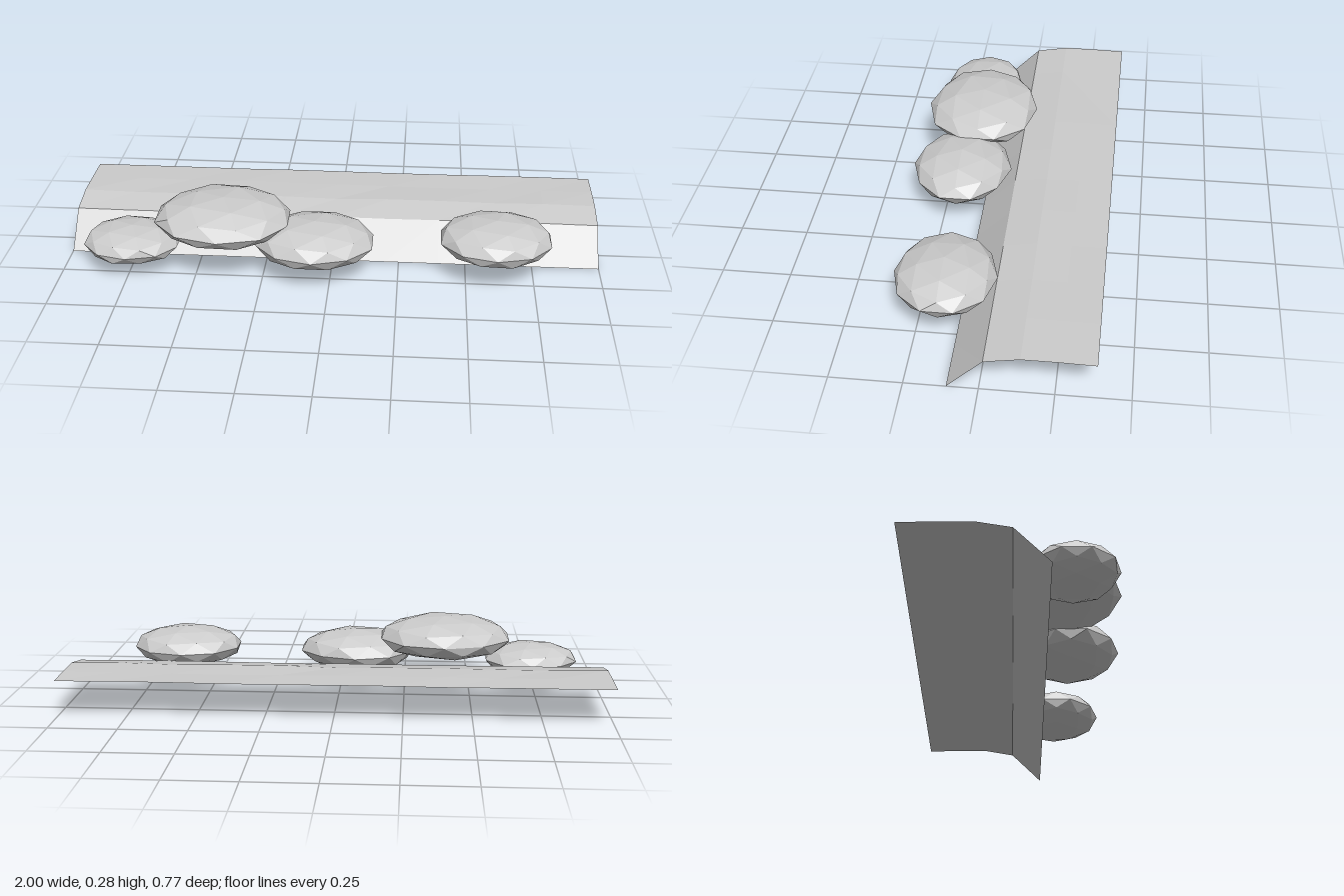
import * as THREE from 'three';

const material = new THREE.MeshStandardMaterial({ color: 0xcccccc, flatShading: true });
const sheetMaterial = new THREE.MeshStandardMaterial({
  color: 0xcccccc, flatShading: true, side: THREE.DoubleSide,
});

// Repeatable value in -1..1 from a position, so shared corners move together
function noise(x, y, z, seed) {
  const q = (v) => Math.round(v * 100);
  const s = Math.sin(q(x) * 12.99 + q(y) * 78.23 + q(z) * 37.72 + seed * 4.13) * 43758.55;
  return 2 * (s - Math.floor(s)) - 1;
}

// Flattened low-poly boulder with a corner at the top and bottom
function boulder(name, [x, y, z], [rx, ry, rz], seed) {
  const geometry = new THREE.IcosahedronGeometry(1, 1);
  geometry.rotateZ(-Math.atan(2 / (1 + Math.sqrt(5))));
  const p = geometry.attributes.position;
  for (let i = 0; i < p.count; i++) {
    const [a, b, c] = [p.getX(i), p.getY(i), p.getZ(i)];
    const k = 1 + 0.025 * noise(a, b, c, seed);
    p.setXYZ(i, a * k * rx, b * k * ry, c * k * rz);
  }
  geometry.computeVertexNormals();
  const mesh = new THREE.Mesh(geometry, material);
  mesh.name = name;
  mesh.position.set(x, y, z);
  return mesh;
}

// Thin strip along x that follows a [z, y, roughness] profile from front to back
function strip(name, profile, columns) {
  const geometry = new THREE.PlaneGeometry(2, 1, columns, profile.length - 1);
  const p = geometry.attributes.position;
  for (let i = 0; i < p.count; i++) {
    const row = profile.length - 1 - Math.floor(i / (columns + 1));
    const [z, y, rough] = profile[row];
    p.setXYZ(i, p.getX(i), y + rough * noise(p.getX(i), y, z, 3), z);
  }
  geometry.computeVertexNormals();
  const mesh = new THREE.Mesh(geometry, sheetMaterial);
  mesh.name = name;
  return mesh;
}

export function createModel() {
  const model = new THREE.Group();
  model.name = 'rockyBank';

  // Sloping bank and the slightly uneven ground behind it
  model.add(strip('bankSlope', [[0.107, 0, 0], [-0.015, 0.122, 0.002]], 10));
  model.add(strip('groundStrip', [
    [-0.015, 0.122, 0.002], [-0.137, 0.142, 0.004], [-0.26, 0.142, 0.004], [-0.385, 0.14, 0.001],
  ], 10));

  // Boulders resting along the bank
  const boulders = new THREE.Group();
  boulders.name = 'boulders';
  boulders.add(
    boulder('smallBoulder', [-0.742, 0.103, 0.188], [0.184, 0.063, 0.157], 1),
    boulder('largeBoulder', [-0.401, 0.196, 0.152], [0.259, 0.081, 0.217], 2),
    boulder('middleBoulder', [-0.06, 0.132, 0.197], [0.223, 0.079, 0.187], 3),
    boulder('loneBoulder', [0.608, 0.145, 0.165], [0.213, 0.075, 0.182], 4),
  );
  model.add(boulders);
  return model;
}
